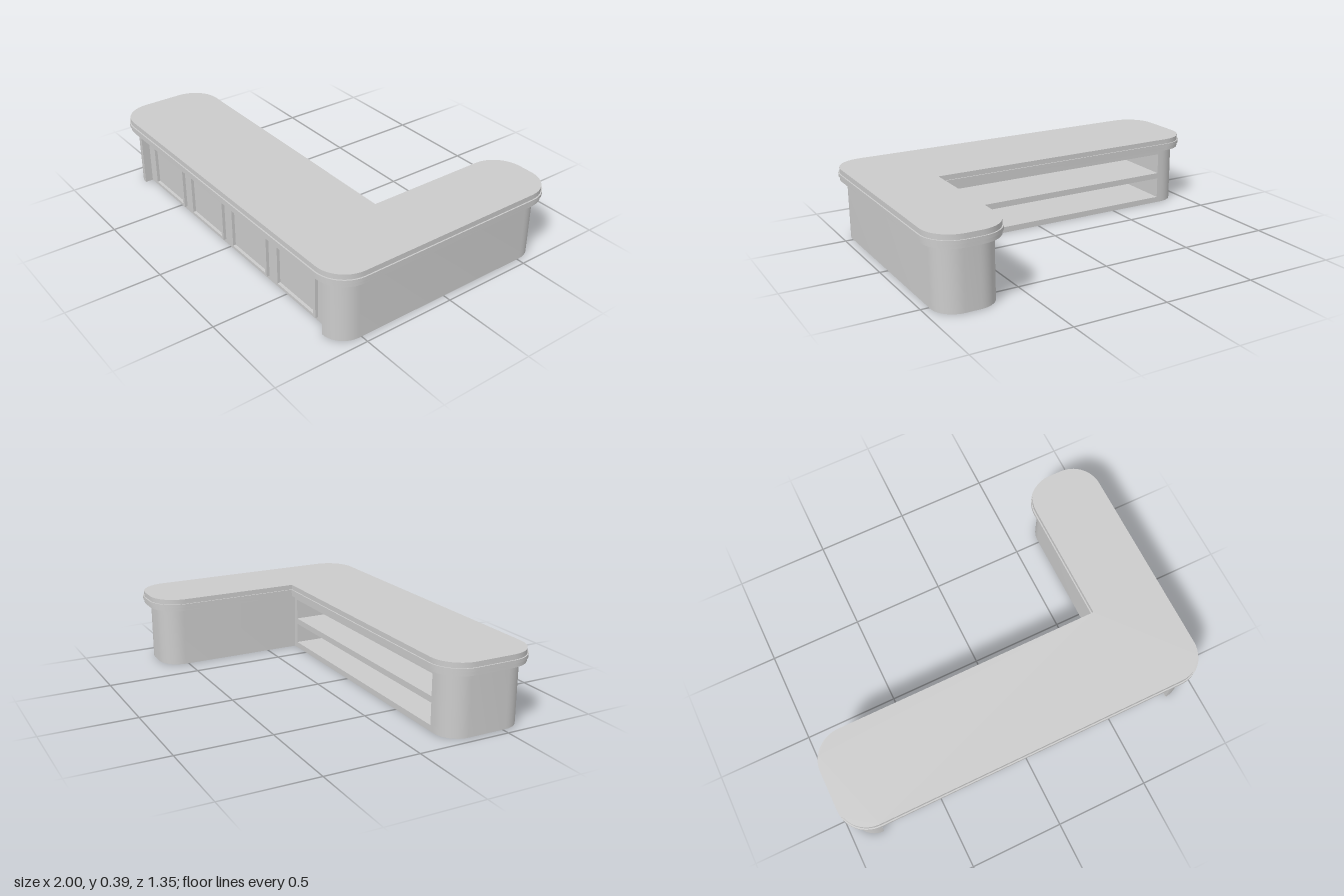
import * as THREE from 'three';
import { toCreasedNormals } from 'three/addons/utils/BufferGeometryUtils.js';

const BODY_TOP = 0.325, INSET = -0.036, RECESS_Z = 0.59;
const SHELF = { x0: -0.81, x1: 0.61, z: 0.55 };
const material = new THREE.MeshStandardMaterial({ color: 0xcccccc, side: THREE.DoubleSide });

// Turns [x, z, radius] corners (all right angles) into an outline with rounded corners
function outline(corners, steps = 10) {
  const pts = [];
  corners.forEach(([x, z, r = 0], i) => {
    const p = new THREE.Vector2(x, -z);
    if (!r) return pts.push(p);
    const toward = ([a, b]) => new THREE.Vector2(a, -b).sub(p).normalize();
    const u = toward(corners[(i + corners.length - 1) % corners.length]);
    const v = toward(corners[(i + 1) % corners.length]);
    for (let k = 0; k <= steps; k++) {
      const t = (k / steps) * Math.PI / 2;
      pts.push(p.clone().addScaledVector(u, r * (1 - Math.sin(t))).addScaledVector(v, r * (1 - Math.cos(t))));
    }
  });
  return new THREE.Shape(pts);
}

// Corners of the L-shaped plan grown by an offset; front and back edges can be replaced by notches
function plan(o, frontNotch = [], backNotch = []) {
  const x = 0.993 + o, z = 0.67 + o, r = 0.155 + o;
  return [
    [-x, z, r], ...frontNotch, [x, z, r], [x, -z, r], [0.605 - o, -z, r],
    [0.605 - o, 0.145 - o], ...backNotch, [-x, 0.145 - o, r],
  ];
}

function slab(name, shape, y, height) {
  const geo = new THREE.ExtrudeGeometry(shape, { depth: height, bevelEnabled: false });
  geo.rotateX(-Math.PI / 2);
  const mesh = new THREE.Mesh(toCreasedNormals(geo, 0.5), material);
  mesh.name = name;
  mesh.position.y = y;
  return mesh;
}

function rect(shape, w, h) {
  return shape.moveTo(-w / 2, -h / 2).lineTo(w / 2, -h / 2).lineTo(w / 2, h / 2).lineTo(-w / 2, h / 2).closePath();
}

export function createModel() {
  const model = new THREE.Group();
  model.name = 'cornerCounter';

  // Body with a recessed front between the corner pillars and a shelf cavity behind
  const front = 0.67 + INSET, back = 0.145 - INSET;
  const frontNotch = [[-0.84, front], [-0.84, RECESS_Z], [0.84, RECESS_Z], [0.84, front]];
  const backNotch = [[SHELF.x1, back], [SHELF.x1, SHELF.z], [SHELF.x0, SHELF.z], [SHELF.x0, back]];
  model.add(slab('body', outline(plan(INSET, frontNotch, backNotch)), 0, BODY_TOP));

  // Boards dividing the cavity into two open shelves
  const board = outline([[SHELF.x0, back], [SHELF.x1, back], [SHELF.x1, SHELF.z], [SHELF.x0, SHELF.z]]);
  for (const [name, y0, y1] of [['shelfFloor', 0, 0.032], ['middleShelf', 0.147, 0.18], ['topRail', 0.295, BODY_TOP]]) {
    model.add(slab(name, board, y0, y1 - y0));
  }

  // Raised frames on the front
  const frames = new THREE.Group();
  frames.name = 'frontFrames';
  const frameShape = rect(new THREE.Shape(), 0.32, 0.283);
  frameShape.holes.push(rect(new THREE.Path(), 0.288, 0.251));
  const frameGeo = new THREE.ExtrudeGeometry(frameShape, { depth: 0.016, bevelEnabled: false });
  for (let i = 0; i < 4; i++) {
    const frame = new THREE.Mesh(frameGeo, material);
    frame.name = 'panelFrame';
    frame.position.set(-0.601 + i * 0.397, 0.163, RECESS_Z);
    frames.add(frame);
  }
  model.add(frames);

  // Worktop: three stacked layers, the middle one standing out as a lip
  model.add(slab('worktopBase', outline(plan(0)), BODY_TOP, 0.022));
  model.add(slab('worktopLip', outline(plan(0.007)), 0.347, 0.018));
  model.add(slab('worktop', outline(plan(0)), 0.365, 0.027));
  return model;
}
